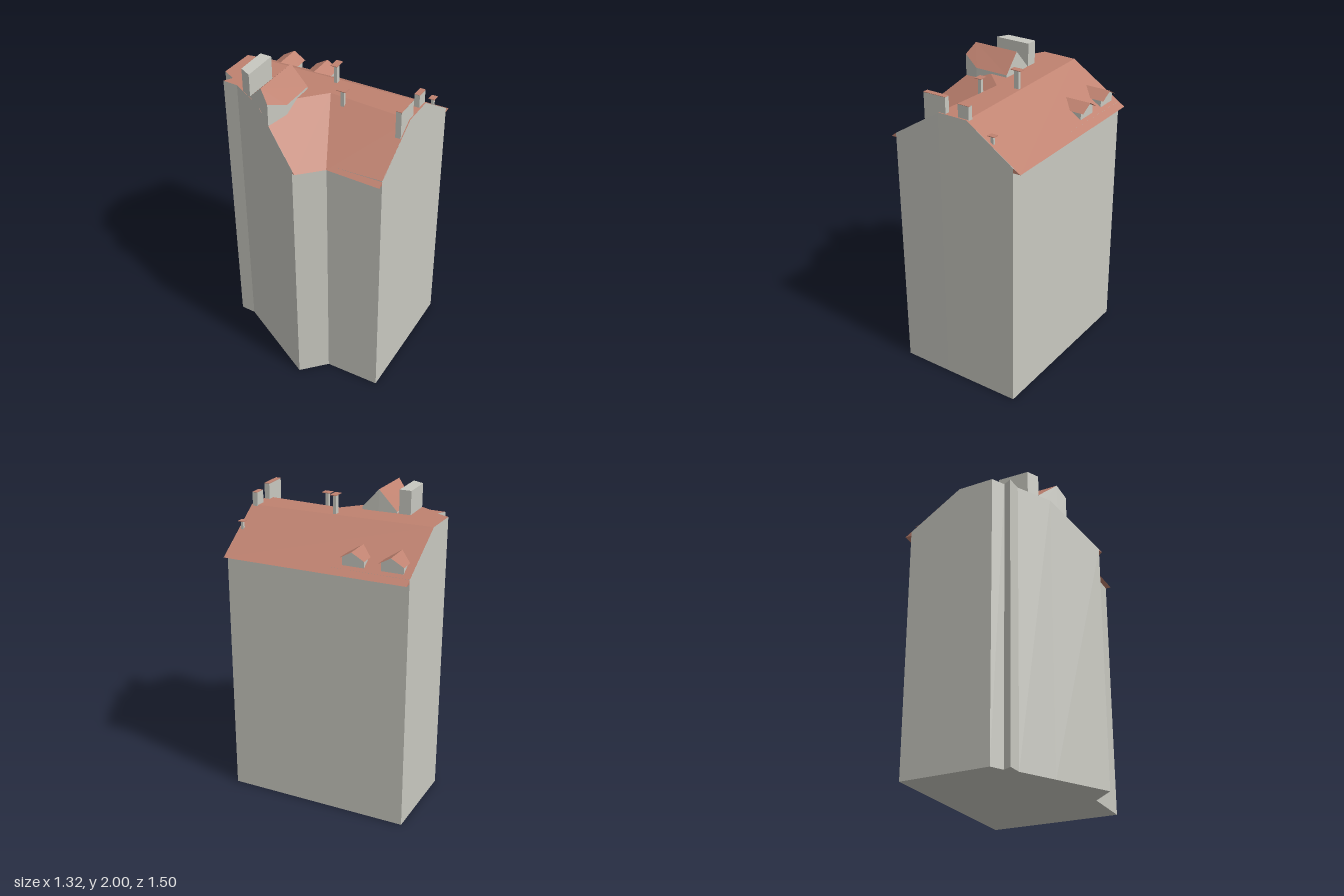
import * as THREE from 'three';

const wallMat = new THREE.MeshStandardMaterial({ color: 0xc8c8c0, side: THREE.DoubleSide });
wallMat.name = 'pale grey plaster';
const roofMat = new THREE.MeshStandardMaterial({ color: 0xbf8270, side: THREE.DoubleSide });
roofMat.name = 'red tile';

// Flat polygons, each a fan of [x, y, z] corners, merged into one mesh
function facets(name, mat, polys) {
  const pos = [];
  for (const p of polys)
    for (let i = 1; i < p.length - 1; i++) pos.push(...p[0], ...p[i], ...p[i + 1]);
  const g = new THREE.BufferGeometry();
  g.setAttribute('position', new THREE.Float32BufferAttribute(pos, 3));
  g.computeVertexNormals();
  const m = new THREE.Mesh(g, mat);
  m.name = name;
  return m;
}

// Vertical walls round a plan (clockwise from above) whose corners have their own top heights
function ring(name, corners, base) {
  return facets(name, wallMat, corners.map((a, i) => {
    const b = corners[(i + 1) % corners.length];
    return [[b[0], base, b[2]], [a[0], base, a[2]], a, b];
  }));
}

// Horizontal sheet over a plan
function sheet(name, mat, corners, y, down = false) {
  const shape = new THREE.Shape(corners.map(c => new THREE.Vector2(c[0], down ? c[2] : -c[2])));
  const g = new THREE.ShapeGeometry(shape);
  g.rotateX(down ? Math.PI / 2 : -Math.PI / 2);
  const m = new THREE.Mesh(g, mat);
  m.name = name;
  m.position.y = y;
  return m;
}

// Point at s along the ridge and t across it towards the back right
const P = (s, t, y) => [0.688 * s + 0.726 * t, y, 0.726 * s - 0.688 * t];

// Small gabled dormer on the long back slope
function dormer(s) {
  const g = new THREE.Group();
  g.name = 'smallDormer';
  const h = 0.07, f = 0.333;
  const walls = [[P(s + h, f, 1.64), P(s - h, f, 1.64), P(s - h, f, 1.705), P(s, f, 1.743), P(s + h, f, 1.705)]];
  const tiles = [];
  for (const k of [-1, 1]) {
    const side = [P(s + k * h, f, 1.64), P(s + k * h, f, 1.705), P(s + k * h, 0.255, 1.705)];
    const slope = [P(s, 0.183, 1.747), P(s + k * 0.08, 0.262, 1.7), P(s + k * 0.08, 0.355, 1.7), P(s, 0.358, 1.747)];
    walls.push(k > 0 ? side : side.reverse());
    tiles.push(k > 0 ? slope.reverse() : slope);
  }
  g.add(facets('dormerWalls', wallMat, walls), facets('dormerTiles', roofMat, tiles));
  return g;
}

// Stack parallel to the gable, with a thin tiled cap
function chimney(name, x, z, y0, y1, w, d, capW = w, capD = d) {
  const g = new THREE.Group();
  g.name = name;
  const stack = new THREE.Mesh(new THREE.BoxGeometry(w, y1 - y0, d), wallMat);
  stack.name = 'stack';
  stack.position.y = (y0 + y1) / 2;
  const cap = new THREE.Mesh(new THREE.BoxGeometry(capW, 0.004, capD), roofMat);
  cap.name = 'cap';
  cap.position.y = y1;
  g.add(stack, cap);
  g.position.set(x, 0, z);
  g.rotation.y = 0.7586;
  return g;
}

export function createModel() {
  const model = new THREE.Group();
  model.name = 'townHouse';
  const top = 1.85, eave = 1.61;

  // Body corners, clockwise from above
  const E = [0.62, 1.64, 0.143], R1 = [0.39, top, 0.36], R2 = [0.243, top, 0.498];
  const S = [0, 1.638, 0.725], A = [-0.24, 1.625, 0.47], B = [-0.44, 1.622, 0.463];
  const H = [-0.534, top, 0.085], C = [-0.595, top, -0.16], D = [-0.66, top, -0.235];
  const F = [-0.6, top, -0.25], G = [-0.625, top, -0.34], R4 = [-0.45, top, -0.495];
  const N = [-0.192, 1.638, -0.725], V = [-0.095, top, 0.09];
  const plan = [E, R1, R2, S, A, B, H, C, D, F, G, R4, N];
  model.add(ring('houseWalls', plan, 0), sheet('floor', wallMat, plan, 0, true));

  // Main roof: flat crown and three slopes
  const E2 = [0.655, eave, 0.107], N2 = [-0.16, eave, -0.755], S2 = [-0.025, eave, 0.75];
  const A2 = [-0.25, eave, 0.495], B2 = [-0.433, eave, 0.487];
  model.add(sheet('flatRoof', roofMat, [R1, R2, V, H, C, D, F, G, R4], top));
  model.add(facets('roofSlopes', roofMat, [[E2, N2, R4, R1], [R2, V, A2, S2], [V, H, B2, A2]]));

  // Boxed eaves: soffits and end triangles
  const low = p => [p[0], eave, p[2]];
  const eaves = [];
  for (const [a, b, a2, b2] of [[E, N, E2, N2], [A, S, A2, S2], [B, A, B2, A2]])
    eaves.push([low(a), low(b), b2, a2]);
  for (const [w, e] of [[E, E2], [N, N2], [S, S2], [B, B2]]) eaves.push([low(w), e, w]);
  model.add(facets('eaves', roofMat, eaves));

  // Large gabled dormer cut off by the left-hand wall
  const w1 = [-0.503, 1.918, 0.21], w2 = [-0.38, 1.865, 0.165], w3 = [-0.21, 1.865, 0.005];
  const r1 = [-0.52, 1.987, 0.14], r2 = [-0.285, 1.987, -0.075];
  const n1 = [-0.553, 1.86, 0], n2 = [-0.37, 1.86, -0.16];
  const big = new THREE.Group();
  big.name = 'largeDormer';
  big.add(ring('largeDormerWalls', [w1, r1, n1, n2, r2, w3, w2], 1.77));
  big.add(facets('largeDormerTiles', roofMat, [[n1, r1, r2, n2], [r1, w1, w2, w3, r2]]));
  model.add(big);

  // Flat-topped roof box beside it
  const box = [[-0.576, 2, -0.085], [-0.43, 2, -0.225], [-0.378, 2, -0.17], [-0.553, 2, -0.003]];
  model.add(ring('roofBox', box, 1.84), sheet('roofBoxLid', wallMat, box, 2));

  for (const s of [-0.542, -0.298]) model.add(dormer(s));

  // Chimneys and vents
  model.add(
    chimney('wideChimney', 0.206, 0.501, 1.75, 1.95, 0.155, 0.034),
    chimney('gableChimney', 0.35, 0.36, 1.8, 1.93, 0.075, 0.034),
    chimney('gableVent', 0.492, 0.23, 1.7, 1.79, 0.018, 0.016, 0.046, 0.038),
    chimney('frontVent', -0.055, 0.197, 1.76, 1.925, 0.022, 0.022, 0.048, 0.056),
    chimney('crownVent', -0.023, -0.022, 1.84, 1.97, 0.033, 0.02, 0.074, 0.042),
  );
  return model;
}
